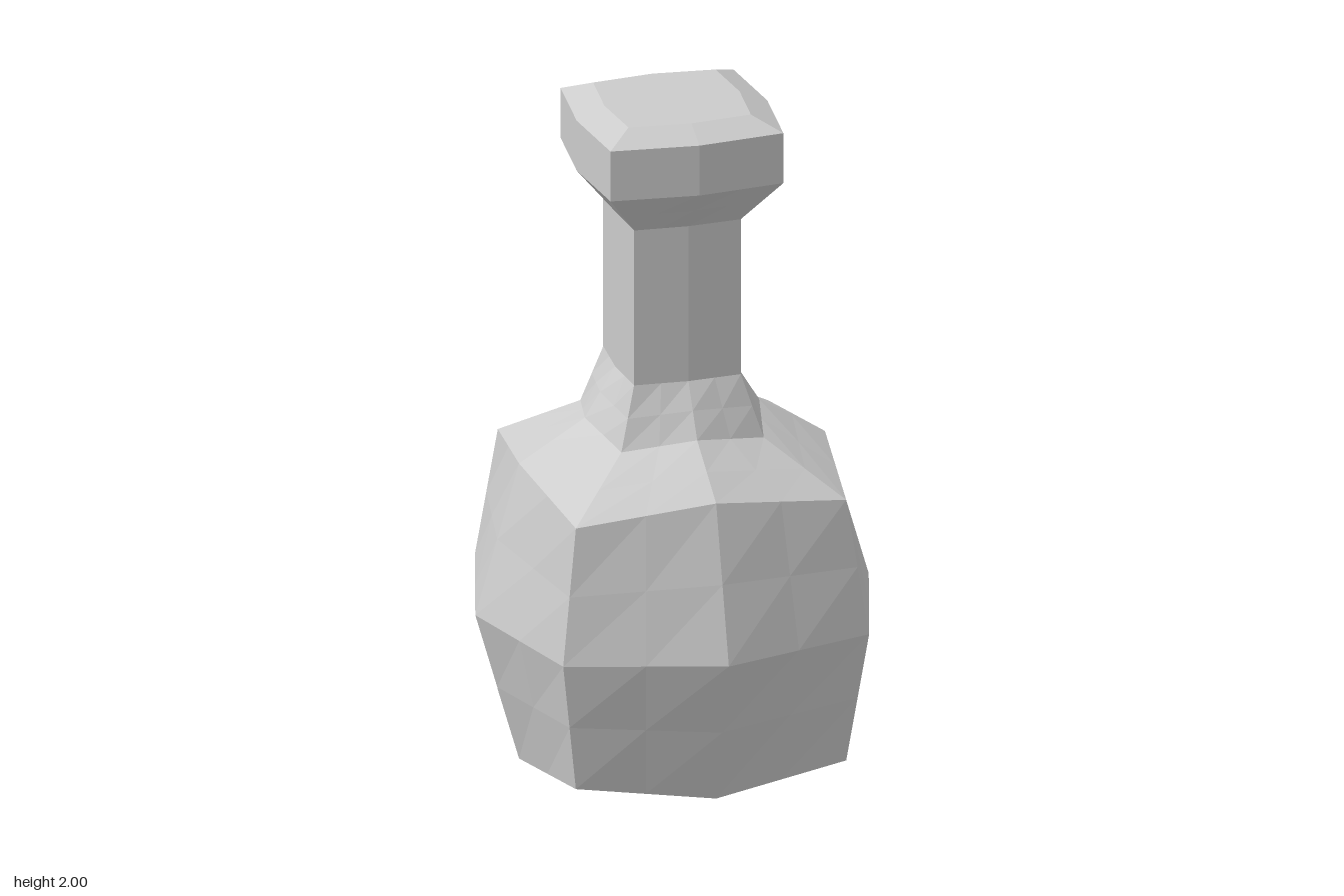
import * as THREE from 'three';

// Ring of 8 points: bulged square with side middles (mid, yMid) and corners (corner, yCorner)
function ring(mid, yMid, corner = mid, yCorner = yMid) {
  return Array.from({ length: 8 }, (_, k) => {
    const a = (k * Math.PI) / 4;
    const isCorner = k % 2 === 1;
    const r = isCorner ? corner : mid;
    return new THREE.Vector3(
      Math.round(Math.sin(a)) * r, isCorner ? yCorner : yMid, Math.round(Math.cos(a)) * r);
  });
}

// Bilinear four-cornered patch split into 2 x 2 facets, corners counter-clockwise
function addPatch(out, a, b, c, d) {
  const n = 2;
  const at = (i, j) => a.clone().lerp(b, i / n).lerp(d.clone().lerp(c, i / n), j / n);
  for (let i = 0; i < n; i++) {
    for (let j = 0; j < n; j++) {
      const p = at(i, j), q = at(i + 1, j), r = at(i + 1, j + 1), s = at(i, j + 1);
      for (const v of [p, q, r, p, r, s]) out.push(v.x, v.y, v.z);
    }
  }
}

// Walls between consecutive rings
function addWalls(out, rings) {
  for (let i = 0; i < rings.length - 1; i++) {
    const lo = rings[i], hi = rings[i + 1];
    for (let k = 0; k < 8; k++) {
      const m = (k + 1) % 8;
      addPatch(out, lo[k], lo[m], hi[m], hi[k]);
    }
  }
}

// Closing face made of four patches around a centre point
function addCap(out, rim, y, up) {
  const centre = new THREE.Vector3(0, y, 0);
  for (let k = 0; k < 8; k += 2) {
    const first = rim[k], corner = rim[k + 1], last = rim[(k + 2) % 8];
    if (up) addPatch(out, centre, first, corner, last);
    else addPatch(out, centre, last, corner, first);
  }
}

function makeMesh(name, positions, material) {
  const geometry = new THREE.BufferGeometry();
  geometry.setAttribute('position', new THREE.Float32BufferAttribute(positions, 3));
  geometry.computeVertexNormals();
  const mesh = new THREE.Mesh(geometry, material);
  mesh.name = name;
  return mesh;
}

export function createModel() {
  const material = new THREE.MeshStandardMaterial({ color: 0xcccccc, flatShading: true });
  const group = new THREE.Group();
  group.name = 'flask';

  const bottom = ring(0.43, 0.13, 0.38, 0.18);
  const belly = ring(0.553, 0.56, 0.43, 0.56);
  const shoulder = ring(0.43, 0.987, 0.38, 0.937);
  const neckFoot = ring(0.245, 1.1, 0.2, 1.07);
  const neckBase = ring(0.16, 1.24, 0.15);
  const neckTop = ring(0.16, 1.69, 0.15);
  const lipLow = ring(0.268, 1.82, 0.243);
  const lipHigh = ring(0.268, 1.965, 0.243);
  const lipTop = ring(0.19, 2, 0.172);

  // Rounded cube body with its sloping shoulder
  const body = [];
  addCap(body, bottom, 0, false);
  addWalls(body, [bottom, belly, shoulder, neckFoot]);
  group.add(makeMesh('body', body, material));

  // Straight neck with flared foot
  const neck = [];
  addWalls(neck, [neckFoot, neckBase, neckTop]);
  group.add(makeMesh('neck', neck, material));

  // Flared, bevelled stopper
  const stopper = [];
  addWalls(stopper, [neckTop, lipLow, lipHigh, lipTop]);
  addCap(stopper, lipTop, 2, true);
  group.add(makeMesh('stopper', stopper, material));

  // Neck corners use the same height as the side middles
  return group;
}
